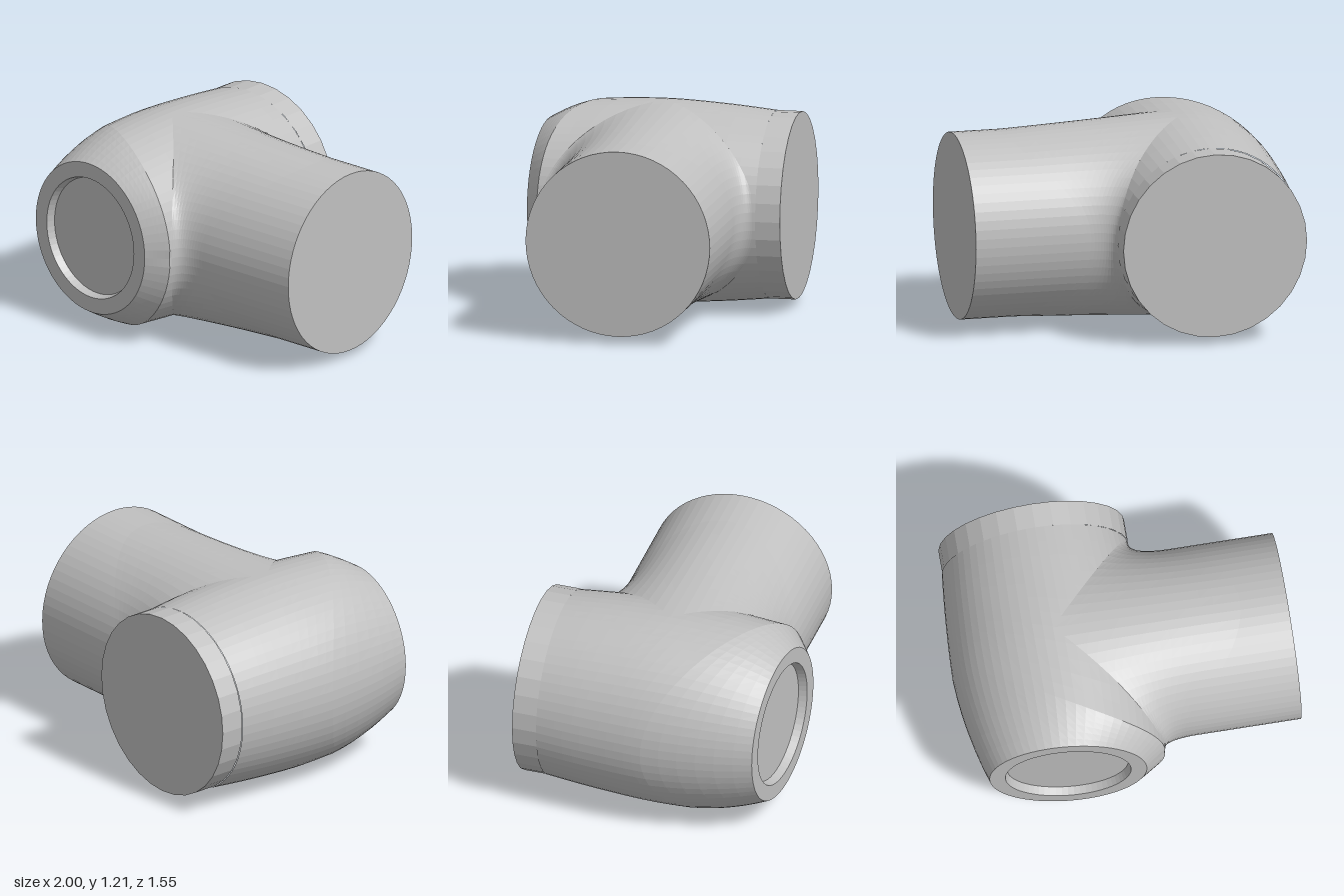
import * as THREE from 'three';

const AXIS_X = -0.4, MID_Y = 0.605, PIPE_Z = 0.025, PIPE_R = 0.557;
const SEG = 64;

// Skin through closed rings; each ring is a function angle -> [x, y, z]
function loft(name, rings, material, seg = SEG) {
  const pos = [], index = [], w = seg + 1;
  rings.forEach((ring) => {
    for (let j = 0; j <= seg; j++) pos.push(...ring((j / seg) * Math.PI * 2));
  });
  for (let i = 0; i < rings.length - 1; i++) {
    for (let j = 0; j < seg; j++) {
      const a = i * w + j, c = a + w;
      index.push(a, a + 1, c, a + 1, c + 1, c);
    }
  }
  const geo = new THREE.BufferGeometry();
  geo.setAttribute('position', new THREE.Float32BufferAttribute(pos, 3));
  geo.setIndex(index);
  geo.computeVertexNormals();
  const mesh = new THREE.Mesh(geo, material);
  mesh.name = name;
  return mesh;
}

const steps = (n, fn) => Array.from({ length: n + 1 }, (_, i) => fn(i / n));
const mix = THREE.MathUtils.lerp;

// Barrel radius along z
const barrel = [[-0.63, 0.558], [-0.35, 0.584], [0, 0.603], [0.3, 0.596], [0.49, 0.582], [0.69, 0.566]];
const barrelCurve = new THREE.SplineCurve(barrel.map(([z, r]) => new THREE.Vector2(z, r)));
const barrelTable = barrelCurve.getPoints(60);
function radiusAt(z) {
  const k = Math.max(1, barrelTable.findIndex((p) => p.x >= z));
  const a = barrelTable[k - 1], b = barrelTable[k];
  return mix(a.y, b.y, THREE.MathUtils.clamp((z - a.x) / (b.x - a.x), 0, 1));
}
const onBarrel = (a, z) => {
  const r = radiusAt(z);
  return [AXIS_X + r * Math.cos(a), r * Math.sin(a), z];
};
// Slanting edge where the barrel turns into the nose
const creaseZ = (a) => 0.48 + 0.33 * Math.cos(a) - 0.12 * Math.cos(a) ** 2;

// Ring on the tilted front face, sunk by depth
const TILT = 0.091;
const faceRing = (r, depth = 0) => (a) => [
  -0.425 + r * Math.cos(a) * Math.cos(TILT) + depth * Math.sin(TILT),
  r * Math.sin(a),
  0.732 + r * Math.cos(a) * Math.sin(TILT) - depth * Math.cos(TILT),
];

// Branch pipe: each strand is a quadratic curve from the barrel to the pipe
function branchRing(t) {
  return (a) => {
    const c = Math.cos(a), s = Math.sin(a);
    const p0 = onBarrel(Math.atan2(-s, Math.abs(c)), PIPE_Z + 0.655 * c);
    const p2 = [0.32 + 0.4 * s * s, -PIPE_R * s, PIPE_Z + PIPE_R * c];
    const p1 = [mix(p0[0], p2[0], 0.5 * s * s), (p0[1] + p2[1]) / 2, p2[2]];
    return p0.map((v, i) => (1 - t) ** 2 * v + 2 * t * (1 - t) * p1[i] + t * t * p2[i]);
  };
}
const pipeRing = (r) => (a) => [1, -r * Math.sin(a), PIPE_Z + r * Math.cos(a)];
const collarRing = (r, z) => (a) => [-0.396 + r * Math.cos(a), r * Math.sin(a), z];

export function createModel() {
  const grey = new THREE.MeshStandardMaterial({ color: 0xc0c0c0, flatShading: true });
  grey.name = 'plain grey';
  const group = new THREE.Group();
  group.name = 'pipeFitting';

  // Swelling main barrel, trimmed by the slanting edge
  group.add(loft('barrel', steps(12, (t) => (a) => onBarrel(a, mix(-0.63, creaseZ(a), t))), grey));

  // Nose narrowing to the front face, slightly bulged on the long side
  group.add(loft('nose', steps(6, (t) => (a) => {
    const p = onBarrel(a, creaseZ(a)), q = faceRing(0.467)(a);
    const bulge = 4 * t * (1 - t) * (0.011 - 0.011 * Math.cos(a));
    return [mix(p[0], q[0], t) + bulge * Math.cos(a), mix(p[1], q[1], t) + bulge * Math.sin(a), mix(p[2], q[2], t)];
  }), grey));

  // Front rim, shallow recess and its floor
  group.add(loft('frontRim', [faceRing(0.467), faceRing(0.373)], grey));
  group.add(loft('recessWall', [faceRing(0.373), faceRing(0.359, 0.05)], grey));
  group.add(loft('recessFloor', [faceRing(0.359, 0.05), faceRing(0, 0.05)], grey));

  // Side branch with blended root and flat end
  group.add(loft('branchPipe', [...steps(14, branchRing), pipeRing(PIPE_R)], grey));
  group.add(loft('branchEnd', [pipeRing(PIPE_R), pipeRing(0)], grey));

  // Straight collar at the back with flat end
  group.add(loft('backCollar', [collarRing(0.558, -0.78), collarRing(0.558, -0.63)], grey, 32));
  group.add(loft('backEnd', [collarRing(0, -0.78), collarRing(0.558, -0.78)], grey, 32));

  group.children.forEach((mesh) => { mesh.position.y = MID_Y; });
  return group;
}
